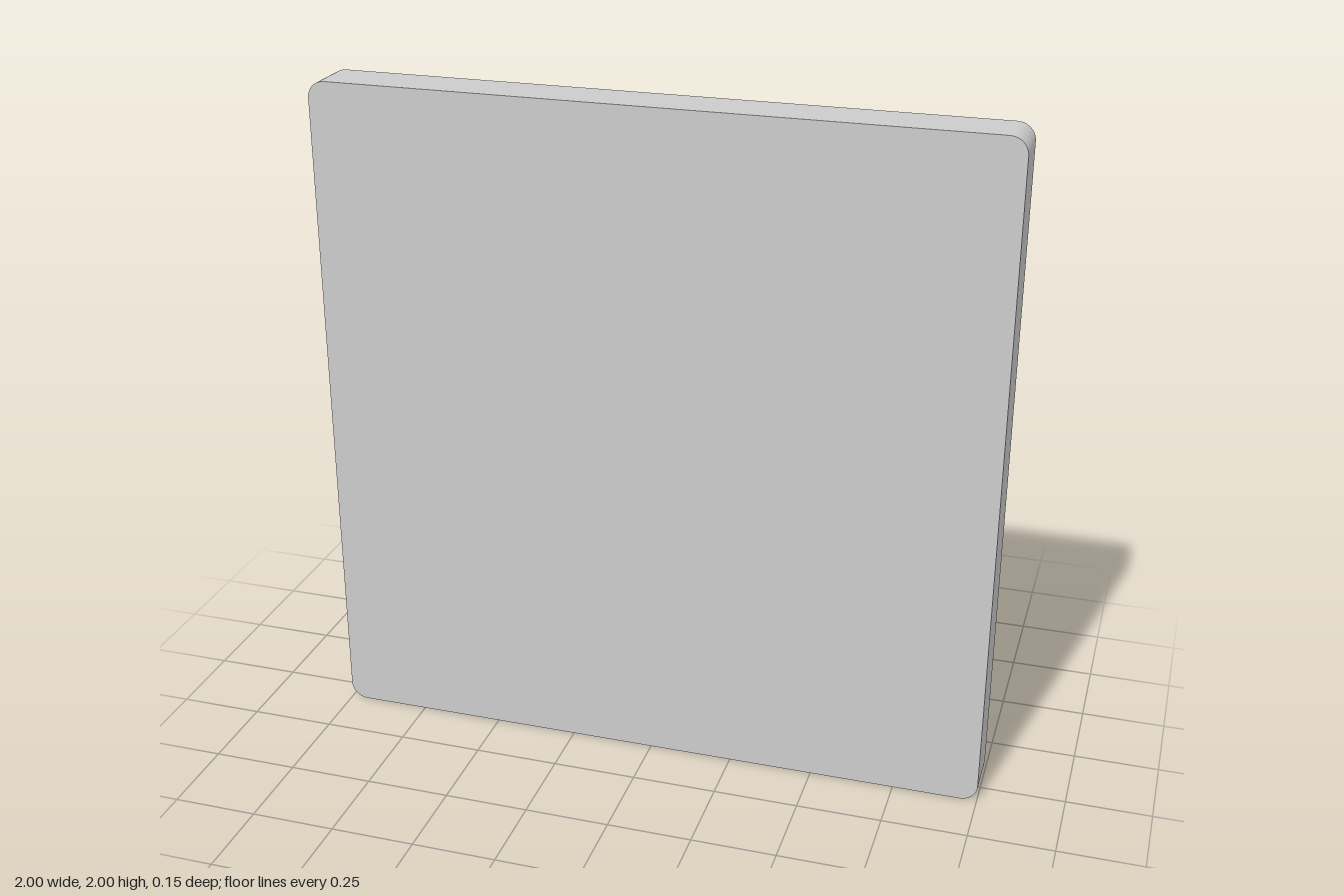
import * as THREE from 'three';

const HALF_DEPTH = 0.073;
const FLOOR_Z = 0.043;
const OUTER = { half: 1, radius: 0.05 };
const INNER = { half: 0.895, radius: 0.035 };
const CORNER_STEPS = 10;

// Counter-clockwise rounded square; every point keeps its outward normal
function outline({ half, radius }) {
  const points = [];
  for (let corner = 0; corner < 4; corner++) {
    const mid = (corner + 0.5) * Math.PI / 2;
    const cx = Math.sign(Math.cos(mid)) * (half - radius);
    const cy = Math.sign(Math.sin(mid)) * (half - radius);
    for (let i = 0; i <= CORNER_STEPS; i++) {
      const a = (corner + i / CORNER_STEPS) * Math.PI / 2;
      const nx = Math.cos(a), ny = Math.sin(a);
      points.push({ x: cx + radius * nx, y: cy + radius * ny, nx, ny });
    }
  }
  return points;
}

const toVectors = (points) => points.map((p) => new THREE.Vector2(p.x, p.y));

// Wall swept along z; facing = 1 looks outward, -1 looks inward
function wallGeometry(points, zBack, zFront, facing) {
  const position = [], normal = [], index = [];
  const n = points.length;
  points.forEach((p, i) => {
    position.push(p.x, p.y, zBack, p.x, p.y, zFront);
    for (let k = 0; k < 2; k++) normal.push(facing * p.nx, facing * p.ny, 0);
    const a = 2 * i, b = 2 * ((i + 1) % n);
    if (facing > 0) index.push(a, b, b + 1, a, b + 1, a + 1);
    else index.push(a, b + 1, b, a, a + 1, b + 1);
  });
  const geometry = new THREE.BufferGeometry();
  geometry.setAttribute('position', new THREE.Float32BufferAttribute(position, 3));
  geometry.setAttribute('normal', new THREE.Float32BufferAttribute(normal, 3));
  geometry.setIndex(index);
  return geometry;
}

export function createModel() {
  const group = new THREE.Group();
  group.name = 'recessedPanel';
  const material = new THREE.MeshStandardMaterial({ color: 0xcccccc });
  const add = (name, geometry, z = 0) => {
    const mesh = new THREE.Mesh(geometry, material);
    mesh.name = name;
    mesh.position.set(0, 1, z);
    group.add(mesh);
  };

  const outer = outline(OUTER);
  const inner = outline(INNER);

  // Plain front face
  add('frontFace', new THREE.ShapeGeometry(new THREE.Shape(toVectors(outer))), HALF_DEPTH);

  // Raised rim around the back
  const rim = new THREE.Shape(toVectors(outer));
  rim.holes.push(new THREE.Path(toVectors(inner).reverse()));
  add('backRim', new THREE.ShapeGeometry(rim).rotateY(Math.PI), -HALF_DEPTH);

  // Floor of the back recess
  const floor = new THREE.ShapeGeometry(new THREE.Shape(toVectors(inner)));
  add('recessFloor', floor.rotateY(Math.PI), FLOOR_Z);

  // Outer edge and recess walls
  add('outerEdge', wallGeometry(outer, -HALF_DEPTH, HALF_DEPTH, 1));
  add('recessWall', wallGeometry(inner, -HALF_DEPTH, FLOOR_Z, -1));

  return group;
}
